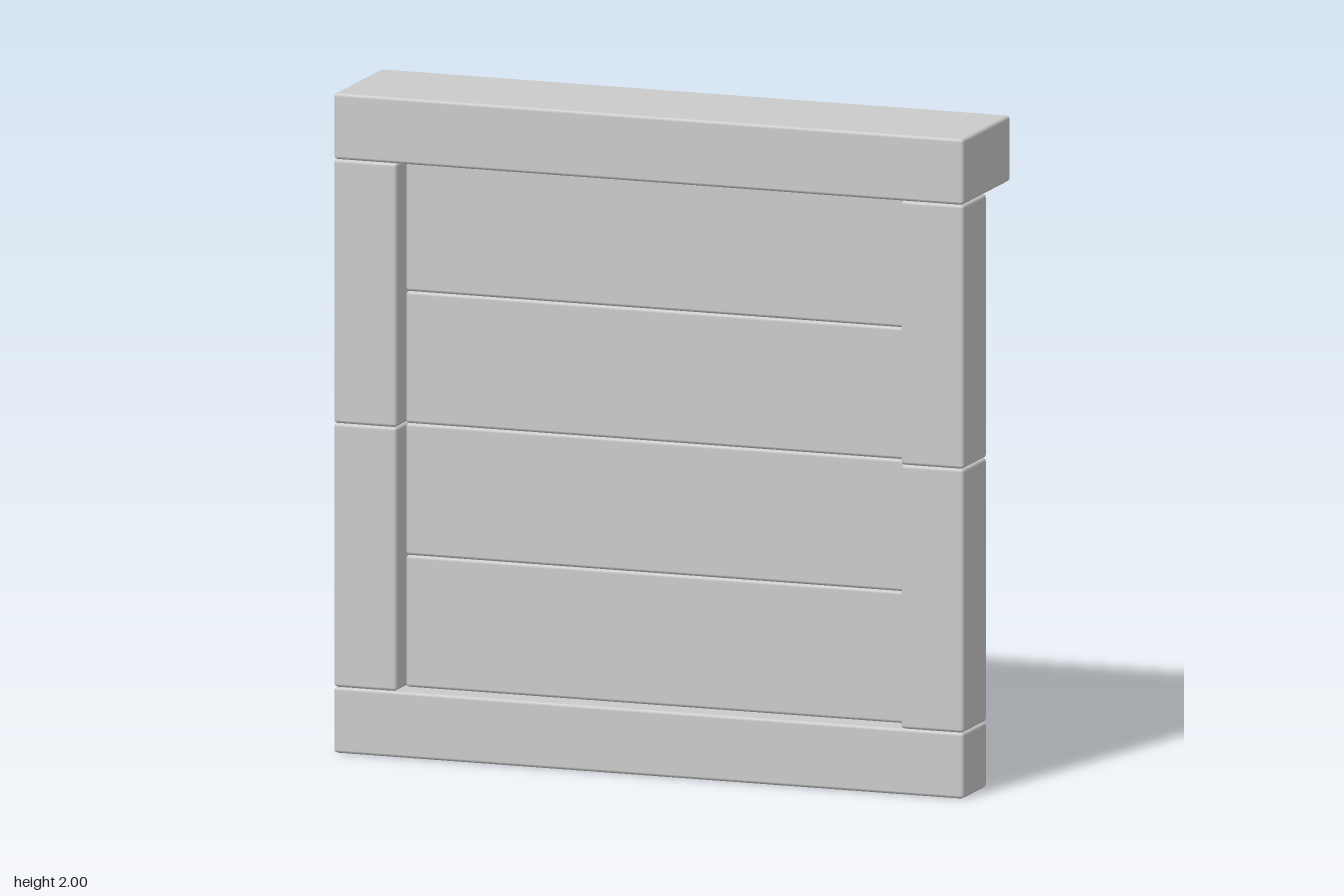
import * as THREE from 'three';
import { RoundedBoxGeometry } from 'three/addons/geometries/RoundedBoxGeometry.js';

const BEVEL = 0.01;
const FRAME_Z = 0.1; // centre of the frame's depth

export function createModel() {
  const model = new THREE.Group();
  model.name = 'panelledFrame';
  const material = new THREE.MeshStandardMaterial({ color: 0xcccccc });

  // Box with narrow bevelled edges, placed by its centre
  function block(name, size, position) {
    const mesh = new THREE.Mesh(new RoundedBoxGeometry(...size, 1, BEVEL), material);
    mesh.name = name;
    mesh.position.set(...position);
    model.add(mesh);
  }

  // Deep top beam overhanging the back, and slim bottom rail
  block('topBeam', [2, 0.2, 0.4], [0, 1.9, 0]);
  block('bottomRail', [2, 0.2, 0.2], [0, 0.1, FRAME_Z]);

  // Two stacked post blocks on each side
  for (const [side, x] of [['left', 0.9], ['right', -0.9]]) {
    block(side + 'LowerPost', [0.2, 0.8, 0.2], [x, 0.6, FRAME_Z]);
    block(side + 'UpperPost', [0.2, 0.8, 0.2], [x, 1.4, FRAME_Z]);
  }

  // Four thin planks recessed from both faces of the frame
  for (let i = 0; i < 4; i++) {
    block('plank' + (i + 1), [1.6, 0.4, 0.05], [0, 0.4 + i * 0.4, FRAME_Z]);
  }

  return model;
}
